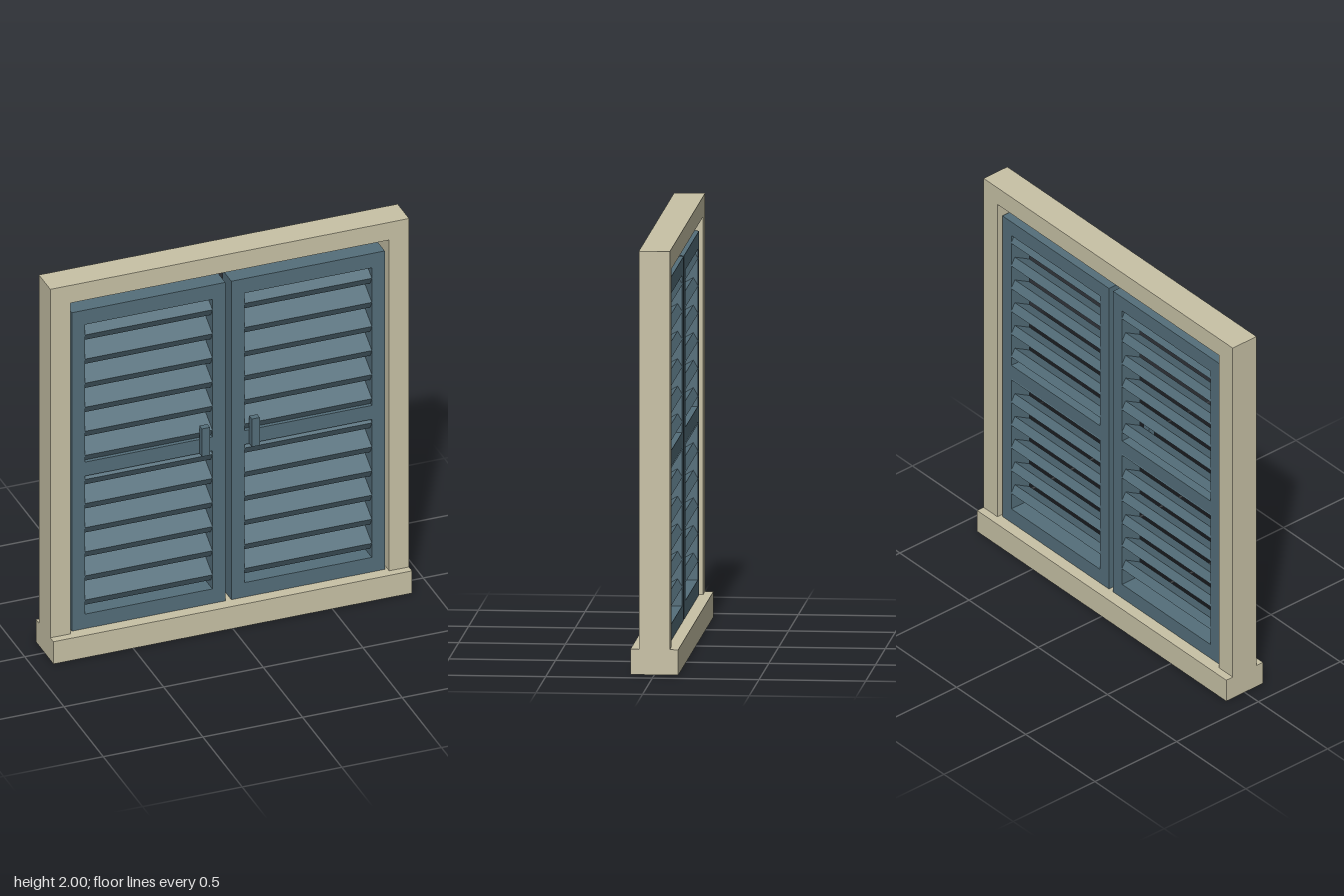
import * as THREE from 'three';

const frameMat = new THREE.MeshStandardMaterial({ color: 0xc8c2a6 });
frameMat.name = 'beige frame';
const shutterMat = new THREE.MeshStandardMaterial({ color: 0x546e7a });
shutterMat.name = 'blue grey shutter';

// Box given by its [min, max] range along each axis
function box(parent, name, mat, [x0, x1], [y0, y1], [z0, z1]) {
  const mesh = new THREE.Mesh(new THREE.BoxGeometry(x1 - x0, y1 - y0, z1 - z0), mat);
  mesh.position.set((x0 + x1) / 2, (y0 + y1) / 2, (z0 + z1) / 2);
  mesh.name = name;
  parent.add(mesh);
  return mesh;
}

// One louvred leaf, built on the +x side; side = -1 mirrors its placement
function createLeaf(side) {
  const leaf = new THREE.Group();
  leaf.name = side > 0 ? 'leftShutter' : 'rightShutter';
  const depth = [-0.055, 0.055];
  const span = (a, b) => (side > 0 ? [a, b] : [-b, -a]);
  const add = (name, x, y, z = depth) => box(leaf, name, shutterMat, span(...x), y, z);

  // Surround and middle rail
  add('innerStile', [0.015, 0.08], [0.122, 1.84]);
  add('outerStile', [0.72, 0.785], [0.122, 1.84]);
  add('bottomRail', [0.08, 0.72], [0.122, 0.2]);
  add('middleRail', [0.08, 0.72], [0.945, 1.02]);
  add('topRail', [0.08, 0.72], [1.762, 1.84]);

  // Slats, tilted down toward the front
  const slatGeo = new THREE.BoxGeometry(0.64, 0.046, 0.104);
  for (let i = 0; i < 12; i++) {
    const slat = new THREE.Mesh(slatGeo, shutterMat);
    slat.name = 'slat';
    slat.position.set(side * 0.4, 0.283 + i * 0.13, 0);
    slat.rotation.x = Math.PI / 6;
    leaf.add(slat);
  }

  // Upright pull handle
  add('handle', [0.105, 0.145], [0.945, 1.095], [0.055, 0.088]);
  return leaf;
}

export function createModel() {
  const model = new THREE.Group();
  model.name = 'shutteredWindow';

  // Frame
  const frame = new THREE.Group();
  frame.name = 'frame';
  const depth = [-0.0725, 0.0725];
  box(frame, 'sill', frameMat, [-0.9, 0.9], [0, 0.12], [-0.112, 0.112]);
  box(frame, 'leftPost', frameMat, [0.8, 0.9], [0.12, 2], depth);
  box(frame, 'rightPost', frameMat, [-0.9, -0.8], [0.12, 2], depth);
  box(frame, 'lintel', frameMat, [-0.8, 0.8], [1.905, 2], depth);
  model.add(frame);

  // Pair of leaves
  for (const side of [1, -1]) model.add(createLeaf(side));
  return model;
}
